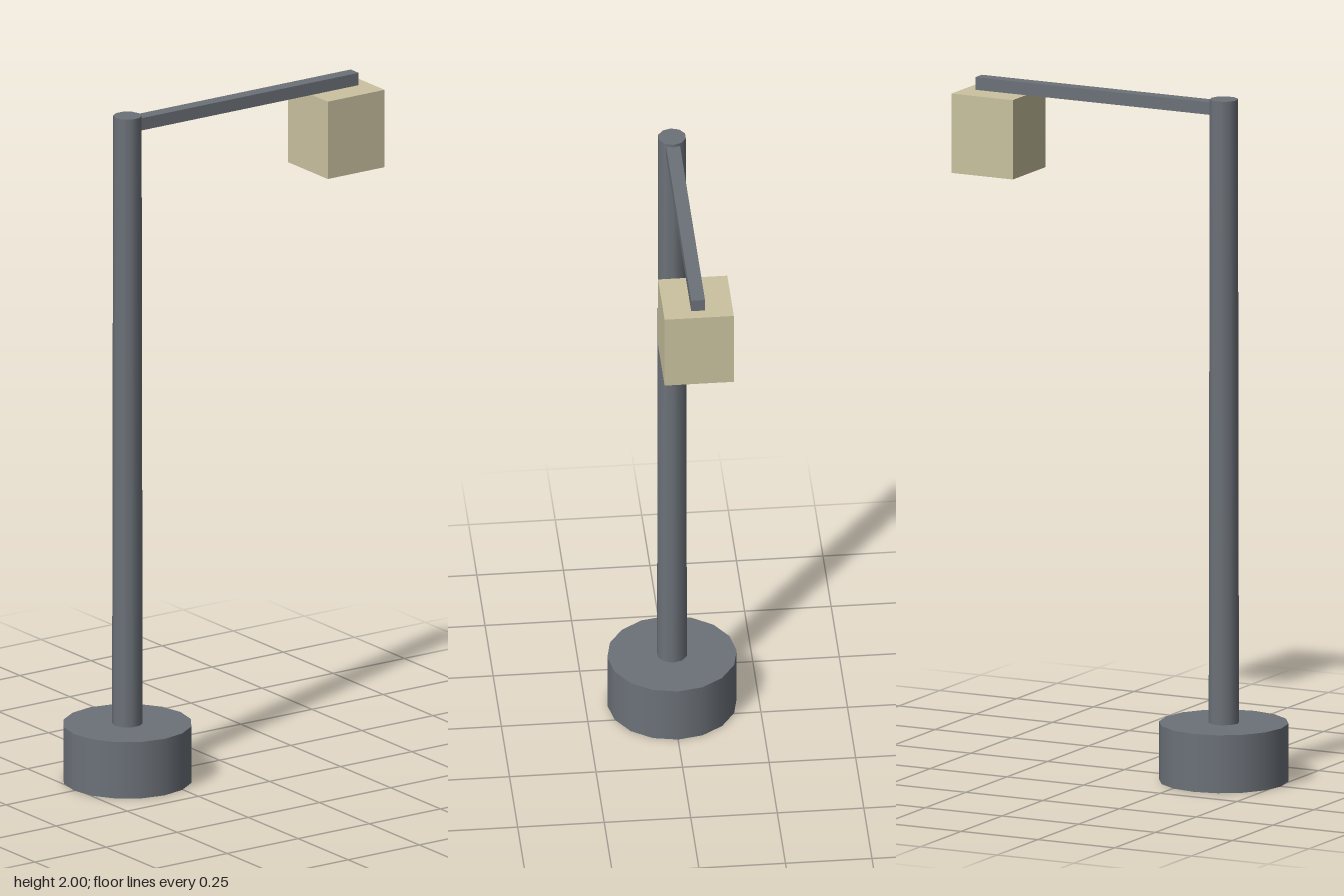
import * as THREE from 'three';

export function createModel() {
  const group = new THREE.Group();
  const steel = new THREE.MeshStandardMaterial({ color: 0x6c7279 });
  steel.name = 'greySteel';
  const glass = new THREE.MeshStandardMaterial({ color: 0xcac2a0 });
  glass.name = 'paleLamp';

  const add = (name, geometry, material, x, y) => {
    const mesh = new THREE.Mesh(geometry, material);
    mesh.name = name;
    mesh.position.set(x, y, 0);
    group.add(mesh);
    return mesh;
  };

  const poleX = -0.324;

  // Round foot and slightly tapered ten-sided pole
  add('base', new THREE.CylinderGeometry(0.187, 0.187, 0.17, 16), steel, poleX, 0.085);
  const pole = add('pole', new THREE.CylinderGeometry(0.041, 0.044, 1.84, 10), steel, poleX, 1.08);
  pole.rotation.y = Math.PI / 2;

  // Square arm reaching out from the pole top, with the lamp box hung beneath
  add('arm', new THREE.BoxGeometry(0.775, 0.037, 0.04), steel, 0.0875, 1.9725);
  add('lamp', new THREE.BoxGeometry(0.2, 0.233, 0.2), glass, 0.41, 1.8375);

  return group;
}
